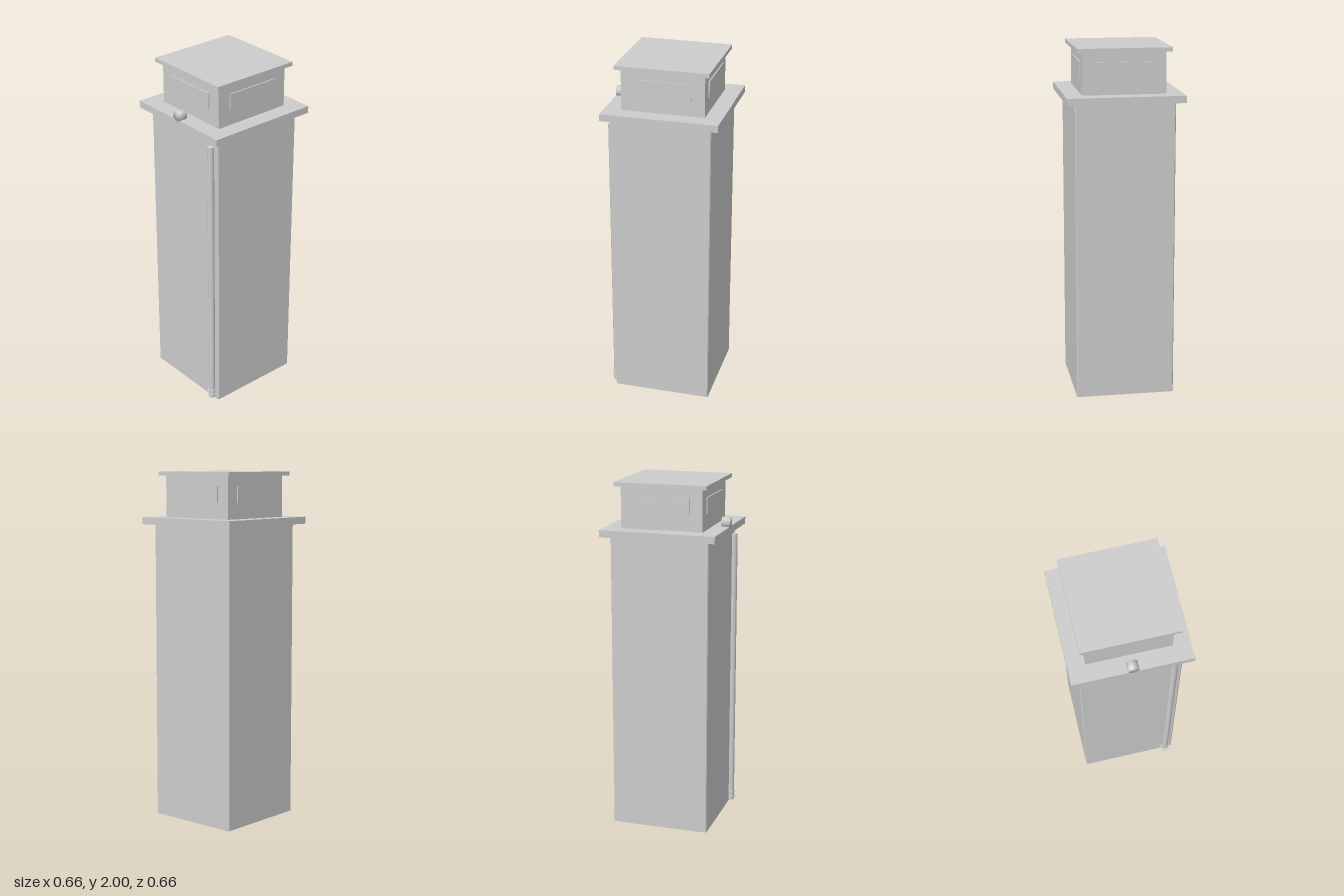
import * as THREE from 'three';
import { mergeVertices } from 'three/addons/utils/BufferGeometryUtils.js';

export function createModel() {
  const model = new THREE.Group();
  const grey = new THREE.MeshStandardMaterial({ color: 0xcccccc });
  grey.name = 'light grey';

  function add(name, geometry, x, y, z, parent = model) {
    const mesh = new THREE.Mesh(geometry, grey);
    mesh.name = name;
    mesh.position.set(x, y, z);
    parent.add(mesh);
    return mesh;
  }
  // Box given by its width (square plan) and its bottom and top heights
  const block = (name, width, y0, y1) =>
    add(name, new THREE.BoxGeometry(width, y1 - y0, width), 0, (y0 + y1) / 2, 0);

  // Shaft with slightly chamfered corners
  const h = 0.281, c = 0.005;
  const plan = new THREE.Shape([
    [-h + c, -h], [h - c, -h], [h, -h + c], [h, h - c],
    [h - c, h], [-h + c, h], [-h, h - c], [-h, -h + c],
  ].map(([x, y]) => new THREE.Vector2(x, y)));
  const shaft = new THREE.ExtrudeGeometry(plan, { depth: 1.702, bevelEnabled: false });
  shaft.rotateX(-Math.PI / 2);
  add('shaft', shaft, 0, 0, 0);

  // Balcony slab, cabin and roof
  block('balconySlab', 0.66, 1.702, 1.742);
  block('cabin', 0.468, 1.742, 1.977);
  block('roof', 0.528, 1.977, 2);

  // One raised window panel on each cabin side
  for (let i = 0; i < 4; i++) {
    const side = new THREE.Group();
    side.name = 'windowSide';
    side.rotation.y = i * Math.PI / 2;
    add('windowPanel', new THREE.BoxGeometry(0.32, 0.09, 0.009), 0, 1.878, 0.2365, side);
    model.add(side);
  }

  // Lamp on the slab's front edge, softly shaded across its rim
  const lamp = new THREE.CylinderGeometry(0.031, 0.031, 0.047, 24);
  lamp.rotateX(Math.PI / 2);
  lamp.deleteAttribute('normal');
  lamp.deleteAttribute('uv');
  const softLamp = mergeVertices(lamp);
  softLamp.computeVertexNormals();
  add('lamp', softLamp, 0, 1.763, 0.3065);

  // Drainpipe with two collars at its foot
  const px = 0.235, pz = 0.291;
  add('drainpipe', new THREE.CylinderGeometry(0.019, 0.019, 1.65, 20), px, 0.832, pz);
  for (const y of [0.032, 0.06])
    add('pipeCollar', new THREE.CylinderGeometry(0.026, 0.026, 0.006, 20), px, y, pz);

  return model;
}
